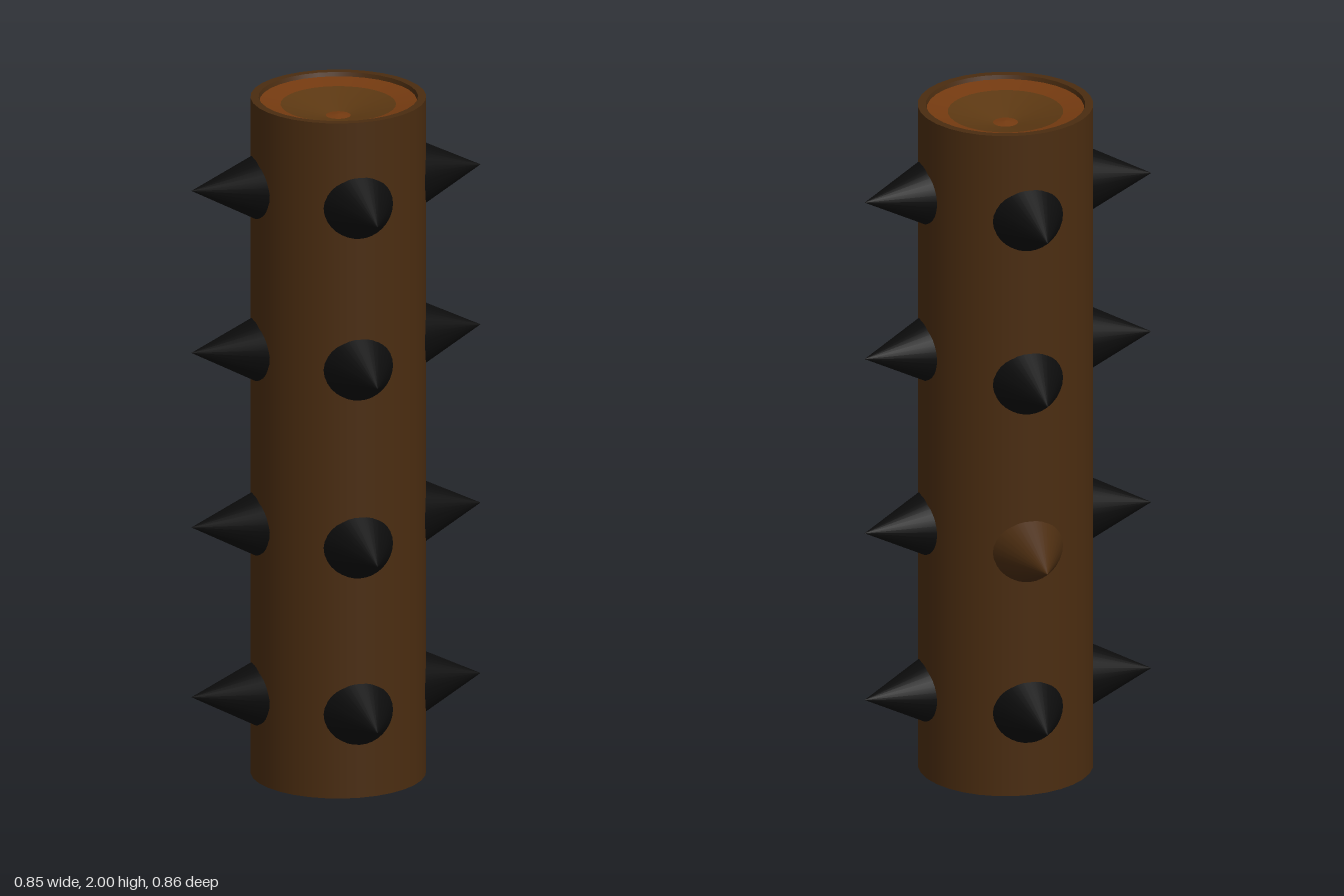
import * as THREE from 'three';

const SIDES = 32;
const R = 0.248;

const paint = (color) => new THREE.MeshStandardMaterial({ color });
const bark = paint(0x4a2c10);
const sapwood = paint(0x743a10);
const heartwood = paint(0x5c3812);
const thorn = paint(0x0c0c0c);

function addMesh(parent, name, geometry, material) {
  const mesh = new THREE.Mesh(geometry, material);
  mesh.name = name;
  parent.add(mesh);
  return mesh;
}

// One ring of the cut end, from an outer [radius, depth] to an inner one
function endRing(outer, inner) {
  const points = [outer, inner].map(([r, d]) => new THREE.Vector2(r, -d));
  return new THREE.LatheGeometry(points, SIDES);
}

// Cut face with a bark rim, a pale ring, a sunken dish and a small pith
function createEnd(name) {
  const end = new THREE.Group();
  end.name = name;
  addMesh(end, 'barkRim', endRing([R, 0], [0.225, 0]), bark);
  addMesh(end, 'rimInside', endRing([0.225, 0], [0.222, 0.012]), bark);
  addMesh(end, 'sapwoodRing', endRing([0.222, 0.012], [0.163, 0.022]), sapwood);
  addMesh(end, 'heartwoodDish', endRing([0.163, 0.022], [0.035, 0.055]), heartwood);
  addMesh(end, 'pith', endRing([0.035, 0.055], [0, 0.05]), sapwood);
  return end;
}

// Cone whose axis runs from a point inside the log out to its tip
function addSpike(parent, name, base, tip, material) {
  const axis = tip.clone().sub(base);
  const length = axis.length();
  const cone = new THREE.ConeGeometry(length * 0.5, length, SIDES);
  const spike = addMesh(parent, name, cone, material);
  spike.position.copy(base).addScaledVector(axis, 0.5);
  spike.quaternion.setFromUnitVectors(new THREE.Vector3(0, 1, 0), axis.normalize());
}

export function createModel() {
  const model = new THREE.Group();
  model.name = 'spikedLog';

  // Log body and its two cut ends
  const body = new THREE.CylinderGeometry(R, R, 2, SIDES, 1, true);
  addMesh(model, 'logBark', body, bark).position.y = 1;
  const top = createEnd('topEnd');
  top.position.y = 2;
  const bottom = createEnd('bottomEnd');
  bottom.rotation.x = Math.PI;
  model.add(top, bottom);

  // Four columns of spikes: direction, tip position and heights
  const columns = [
    { name: 'frontSpike', dir: [0, 1], tip: [0.003, 0.428], heights: [0.247, 0.74, 1.267, 1.746] },
    { name: 'backSpike', dir: [0, -1], tip: [0.002, -0.431], heights: [0.25, 0.737, 1.245, 1.74] },
    { name: 'leftSpike', dir: [1, 0], tip: [0.421, -0.025], heights: [0.25, 0.755, 1.283, 1.757] },
    { name: 'rightSpike', dir: [-1, 0], tip: [-0.424, -0.015], heights: [0.25, 0.753, 1.27, 1.75] },
  ];
  for (const { name, dir, tip, heights } of columns) {
    heights.forEach((y, i) => {
      const base = new THREE.Vector3(dir[0] * 0.2, y, dir[1] * 0.2);
      const point = new THREE.Vector3(tip[0], y, tip[1]);
      // A single spike on the back is bare wood
      const material = name === 'backSpike' && i === 1 ? bark : thorn;
      addSpike(model, name + (i + 1), base, point, material);
    });
  }
  return model;
}
